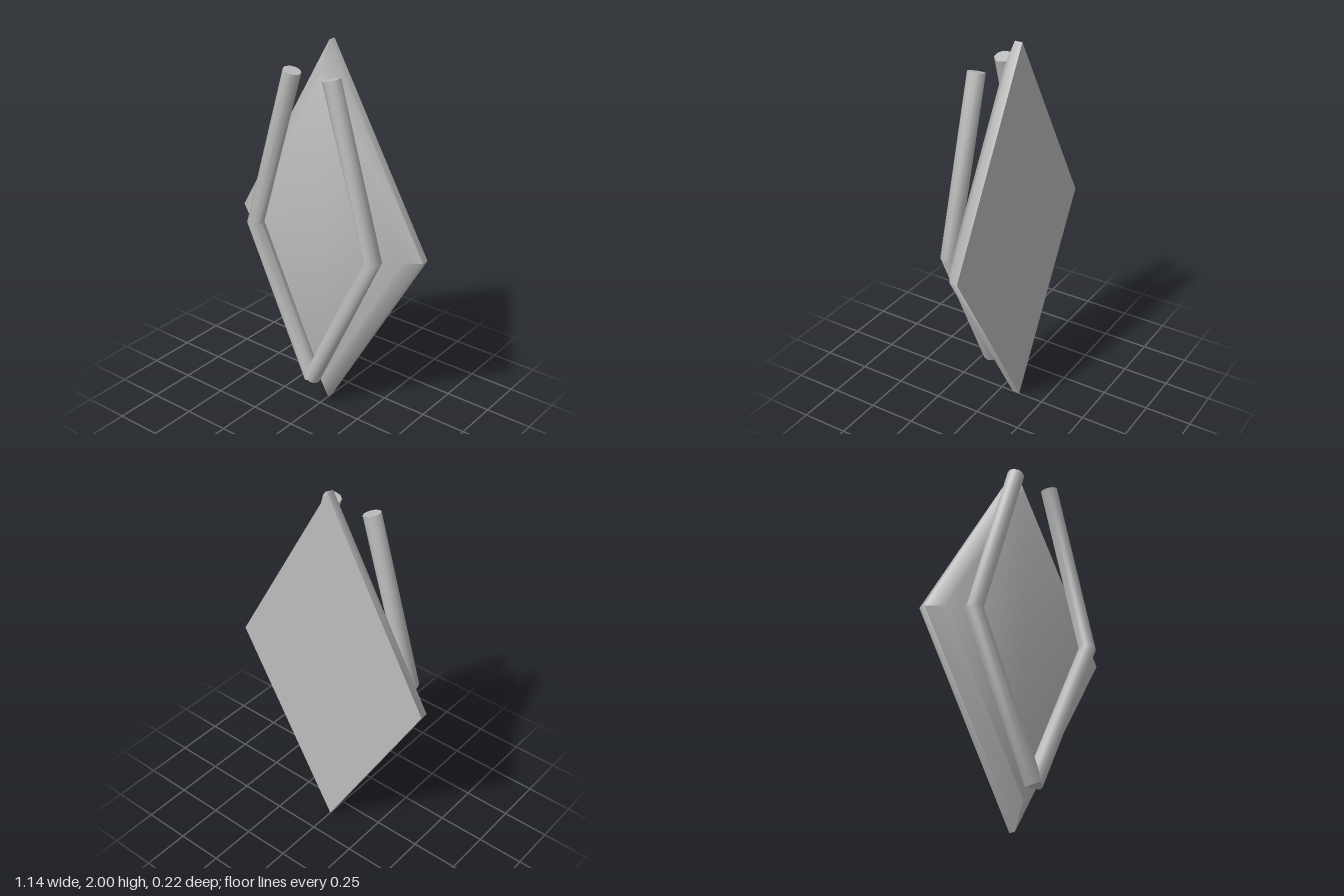
import * as THREE from 'three';
import { toCreasedNormals } from 'three/addons/utils/BufferGeometryUtils.js';

// Skin a stack of equal-length rings, closing both ends with a centre point.
function loft(rings, startCentre, endCentre) {
  const n = rings[0].length;
  const points = [...rings.flat(), startCentre, endCentre];
  const start = rings.length * n, end = start + 1, last = start - n;
  const index = [];
  for (let i = 0; i < n; i++) {
    const j = (i + 1) % n;
    for (let r = 0; r < rings.length - 1; r++) {
      const a = r * n, b = a + n;
      index.push(a + i, a + j, b + j, a + i, b + j, b + i);
    }
    index.push(start, j, i, end, last + i, last + j);
  }
  const geometry = new THREE.BufferGeometry().setFromPoints(points);
  geometry.setIndex(index);
  return geometry;
}

// Diamond plate: straight rim, bevelled and very slightly domed front
function plateGeometry() {
  const ring = (s, z) => [[0.57, 0], [0, 1], [-0.57, 0], [0, -1]]
    .map(([x, y]) => new THREE.Vector3(x * s, 1 + y * s, z));
  const rings = [ring(1, -0.11), ring(1, -0.07), ring(0.86, -0.01)];
  const geometry = loft(rings, new THREE.Vector3(0, 1, -0.11), new THREE.Vector3(0, 1, -0.004));
  return toCreasedNormals(geometry, 1.1);
}

// Bent rod with square-cut ends and one elbow
function rodGeometry(side) {
  const radius = 0.045, sides = 10, z = 0.065;
  const path = [[0, 0.2], [0.372, 1], [0.117, 1.86]]
    .map(([x, y]) => new THREE.Vector3(x * side, y, z));
  const lower = path[1].clone().sub(path[0]).normalize();
  const upper = path[2].clone().sub(path[1]).normalize();
  const directions = [lower, lower.clone().add(upper).normalize(), upper];
  const forward = new THREE.Vector3(0, 0, 1);
  const rings = path.map((p, k) => {
    const across = directions[k].clone().cross(forward);
    return Array.from({ length: sides }, (_, i) => {
      const a = (i / sides) * Math.PI * 2;
      return p.clone()
        .addScaledVector(across, -Math.cos(a) * radius)
        .addScaledVector(forward, Math.sin(a) * radius);
    });
  });
  return toCreasedNormals(loft(rings, path[0], path[2]), 0.9);
}

export function createModel() {
  const model = new THREE.Group();
  model.name = 'diamondEmblem';
  const grey = new THREE.MeshStandardMaterial({ color: 0xbcbcbc });
  grey.name = 'grey';

  const add = (name, geometry) => {
    const mesh = new THREE.Mesh(geometry, grey);
    mesh.name = name;
    model.add(mesh);
  };

  add('diamondPlate', plateGeometry());
  add('leftRod', rodGeometry(1));
  add('rightRod', rodGeometry(-1));
  return model;
}
